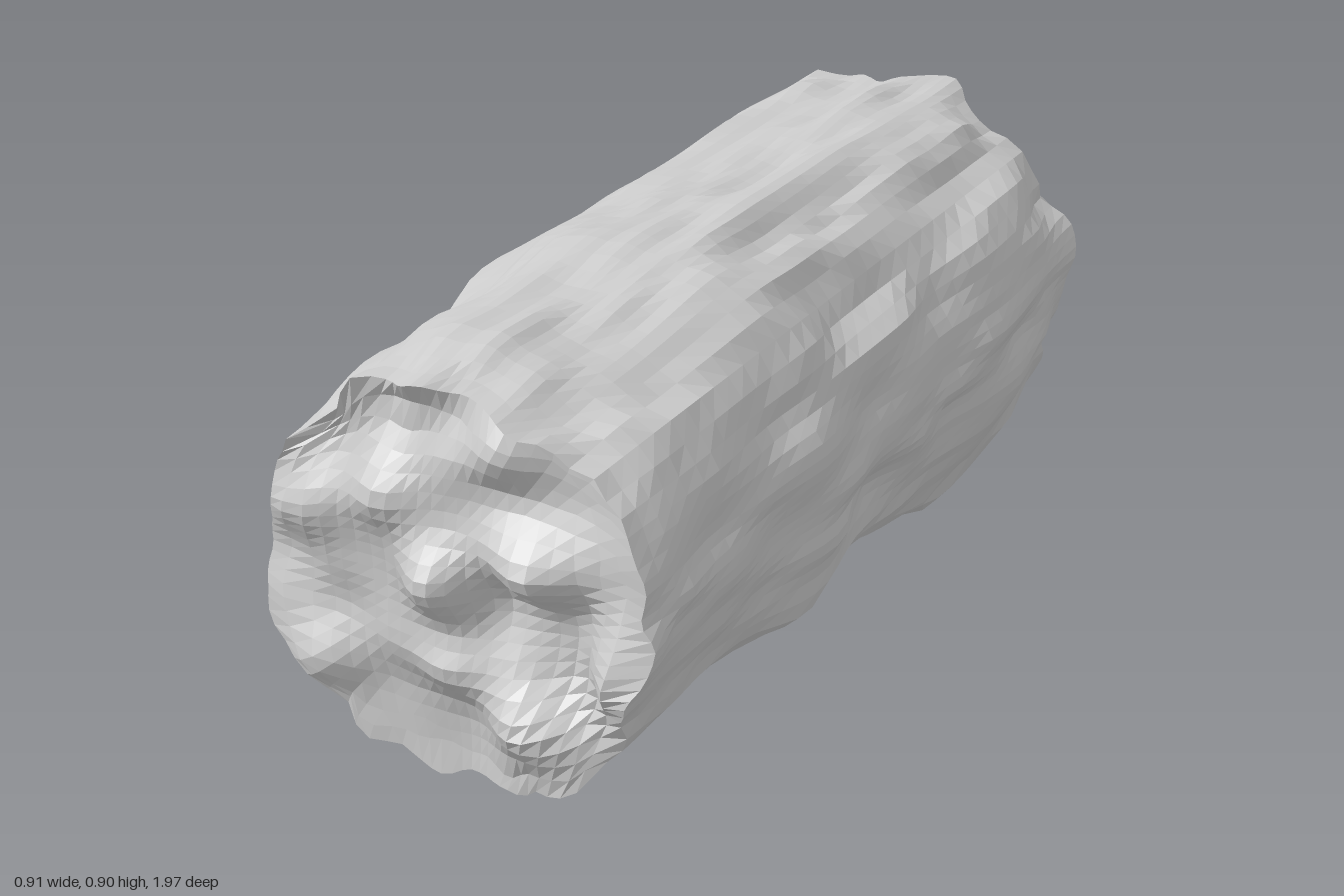
import * as THREE from 'three';

// Seeded lattice hash and smooth value noise in -1..1
const hash = (i, j, k) => {
  let h = Math.imul(i, 374761393) ^ Math.imul(j, 668265263) ^ Math.imul(k, 1274126177);
  h = Math.imul(h ^ (h >>> 13), 1103515245);
  return (((h ^ (h >>> 16)) >>> 0) / 4294967295) * 2 - 1;
};
const { lerp, smoothstep } = THREE.MathUtils;
function noise(x, y, z) {
  const [i, j, k] = [x, y, z].map(Math.floor);
  const [u, v, w] = [x - i, y - j, z - k].map((t) => smoothstep(t, 0, 1));
  const row = (b, c) => lerp(hash(i, b, c), hash(i + 1, b, c), u);
  const layer = (c) => lerp(row(j, c), row(j + 1, c), v);
  return lerp(layer(k), layer(k + 1), w);
}

// Trunk radius on its four sides, from the back end to the front end
const centreY = 0.46;
const sides = {
  top: [0.405, 0.425, 0.43, 0.43, 0.445, 0.455, 0.435, 0.445, 0.405],
  bottom: [0.385, 0.445, 0.445, 0.43, 0.43, 0.405, 0.415, 0.44, 0.43],
  left: [0.40, 0.43, 0.455, 0.435, 0.415, 0.455, 0.425, 0.42, 0.42],
  right: [0.43, 0.455, 0.435, 0.45, 0.43, 0.455, 0.43, 0.43, 0.42],
};
function radiusAt(side, t) {
  const s = (t + 1) * 4;
  const i = Math.min(Math.floor(s), 7);
  return lerp(sides[side][i], sides[side][i + 1], smoothstep(s - i, 0, 1));
}

// Centres of the larger lumps on the torn ends
const lumps = [
  [0.12, 0.76], [-0.13, 0.65], [-0.02, 0.5], [0.2, 0.54], [0, 0.3],
  [-0.35, 0.56], [-0.08, 0.88], [0.17, 0.24], [0.37, 0.38], [-0.28, 0.24],
];
function endDepth(x, y, end) {
  let d = 0.885 + 0.055 * noise(x * 8 + 40, y * 8 + 11, end * 7.5);
  for (const [lx, ly] of lumps) {
    d += 0.075 * Math.exp(-((x - lx * end) ** 2 + (y - ly + centreY) ** 2) / 0.006);
  }
  return Math.min(d, 1);
}

export function createModel() {
  const group = new THREE.Group();
  group.name = 'log';

  // A gridded block whose square section is rounded into a rough trunk
  let geometry = new THREE.BoxGeometry(2, 2, 2, 24, 24, 34);
  const pos = geometry.attributes.position;
  const spread = (t) => t * (0.78 + 0.22 * t * t);
  for (let i = 0; i < pos.count; i++) {
    const a = spread(pos.getX(i));
    const b = spread(pos.getY(i));
    const t = pos.getZ(i);

    // Square to disc
    const dx = a * Math.sqrt(1 - (b * b) / 2);
    const dy = b * Math.sqrt(1 - (a * a) / 2);
    const rim2 = dx * dx + dy * dy;

    // Bark: uneven radius, long ridges and short swells
    const rx = radiusAt(dx > 0 ? 'left' : 'right', t);
    const ry = radiusAt(dy > 0 ? 'top' : 'bottom', t);
    const base = rim2 > 0 ? (rx * dx * dx + ry * dy * dy) / rim2 : rx;
    const ridges = 0.027 * noise(dx * 4.5 + 9, dy * 4.5 + 5, t * 3 + 3);
    const grain = 0.015 * noise(dx * 8 + 31, dy * 8 + 17, t * 6 + 7);
    const r = base - 0.006 + (ridges + grain) * rim2;

    // Torn ends, their unevenness fading along the trunk
    const end = t < 0 ? -1 : 1;
    const depth = endDepth(dx * r, dy * r, end);
    const z = t * lerp(0.93, depth, smoothstep(Math.abs(t), 0.75, 1));
    pos.setXYZ(i, dx * r, centreY + dy * r, z);
  }
  geometry = geometry.toNonIndexed();
  geometry.computeVertexNormals();

  const material = new THREE.MeshStandardMaterial({ color: 0xcccccc, flatShading: true });
  const trunk = new THREE.Mesh(geometry, material);
  trunk.name = 'trunk';
  group.add(trunk);
  return group;
}
